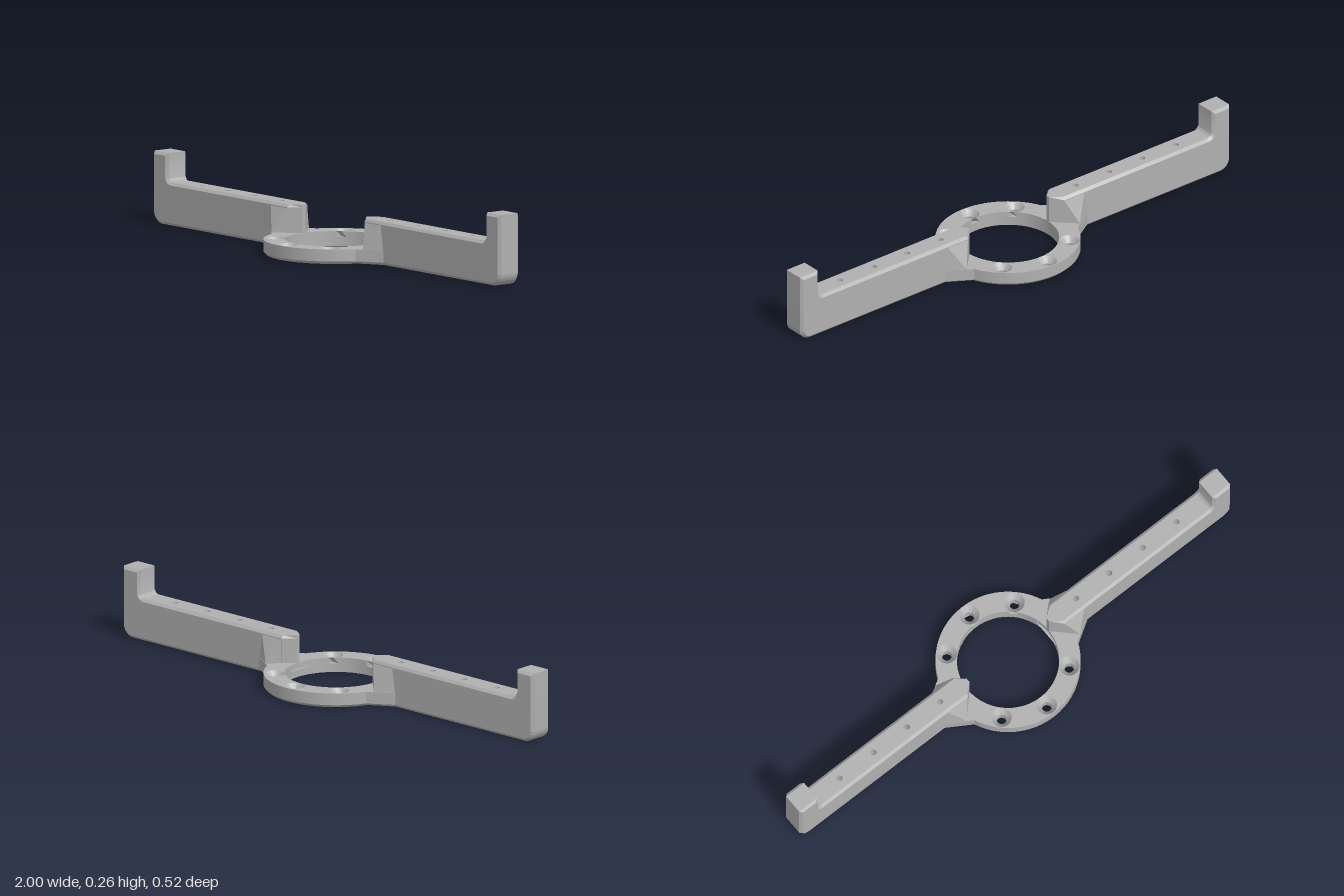
import * as THREE from 'three';
import { toCreasedNormals } from 'three/addons/utils/BufferGeometryUtils.js';
import { ConvexGeometry } from 'three/addons/geometries/ConvexGeometry.js';

const CHAMFER = 0.01, HALF = 0.047, TOP = 0.157, RING_TOP = 0.054;
const OUTER = 0.262, INNER = 0.185, BOLT_R = 0.222;

const grey = new THREE.MeshStandardMaterial({ color: 0xb0b0b0 });
grey.name = 'grey';

function circle(x, z, r) {
  return new THREE.Path().absarc(x, -z, r, 0, Math.PI * 2, true);
}

// Extrudes a plan shape upwards from y0 to y1, then applies a rule to each vertex
function layer(name, shape, holes, y0, y1, rule) {
  shape.holes = holes;
  let geo = new THREE.ExtrudeGeometry(shape, { depth: y1 - y0, bevelEnabled: false, curveSegments: 32 });
  geo.rotateX(-Math.PI / 2).translate(0, y0, 0);
  if (rule) {
    const p = geo.attributes.position, v = new THREE.Vector3();
    for (let i = 0; i < p.count; i++) {
      v.fromBufferAttribute(p, i);
      rule(v);
      p.setXYZ(i, v.x, v.y, v.z);
    }
  }
  geo = toCreasedNormals(geo, 0.5);
  return part(name, geo);
}

function part(name, geo) {
  const mesh = new THREE.Mesh(geo, grey);
  mesh.name = name;
  return mesh;
}

// Round mounting ring with countersunk bolt holes
function makeRing() {
  const group = new THREE.Group();
  group.name = 'mountingRing';
  const bolts = [45, 90, 135, 225, 270, 315].map(a => {
    const t = a * Math.PI / 180;
    return [BOLT_R * Math.cos(t), BOLT_R * Math.sin(t)];
  });
  const all = [...bolts, [BOLT_R, 0], [-BOLT_R, 0]];
  const disc = () => new THREE.Shape().absarc(0, 0, OUTER, 0, Math.PI * 2, false);
  const holes = (list, r) => [circle(0, 0, INNER), ...list.map(([x, z]) => circle(x, z, r))];

  group.add(layer('ringChamfer', disc(), holes(all, 0.018), 0, CHAMFER, v => {
    const r = Math.hypot(v.x, v.z);
    if (v.y < 0.001 && r > OUTER - 0.005) {
      v.x *= (OUTER - CHAMFER) / r;
      v.z *= (OUTER - CHAMFER) / r;
    }
  }));
  group.add(layer('ringBody', disc(), holes(all, 0.018), CHAMFER, 0.032));
  // The lower rim of each hole shrinks to form the countersink
  group.add(layer('ringCountersinks', disc(), holes(bolts, 0.037), 0.032, RING_TOP, v => {
    if (v.y > 0.04) return;
    for (const [x, z] of bolts) {
      const d = Math.hypot(v.x - x, v.z - z);
      if (d < 0.0372) {
        v.x = x + (v.x - x) * 0.018 / d;
        v.z = z + (v.z - z) * 0.018 / d;
        return;
      }
    }
  }));
  return group;
}

// Upturned arm tip with chamfered edges and a rounded lower corner
function makeTip() {
  const s = new THREE.Shape();
  s.moveTo(0.84, 0);
  s.lineTo(0.955, 0);
  s.absarc(0.955, 0.045, 0.045, -Math.PI / 2, 0, false);
  s.lineTo(1, 0.262);
  s.lineTo(0.917, 0.262);
  s.lineTo(0.917, TOP + 0.022);
  s.absarc(0.895, TOP + 0.022, 0.022, 0, -Math.PI / 2, true);
  s.lineTo(0.84, TOP);
  s.closePath();
  const geo = new THREE.ExtrudeGeometry(s, {
    depth: 2 * (HALF - CHAMFER), bevelEnabled: true, bevelSegments: 1, curveSegments: 10,
    bevelSize: CHAMFER, bevelThickness: CHAMFER, bevelOffset: -CHAMFER,
  });
  geo.translate(0, 0, -(HALF - CHAMFER));
  return part('armTip', toCreasedNormals(geo, 0.5));
}

function makeArm(name) {
  const arm = new THREE.Group();
  arm.name = name;
  const plan = () => new THREE.Shape([
    [0.185, -0.008], [0.224, -HALF], [0.86, -HALF],
    [0.86, HALF], [0.224, HALF], [0.185, 0.008],
  ].map(([x, y]) => new THREE.Vector2(x, y)));
  const small = () => [0.315, 0.47, 0.625, 0.782].map(x => circle(x, 0, 0.011));
  const lower = () => [...small(), circle(BOLT_R, 0, 0.018)];
  const inset = v => { v.z = THREE.MathUtils.clamp(v.z, CHAMFER - HALF, HALF - CHAMFER); };

  // Drilled bar, chamfered along its upper and lower edges
  arm.add(layer('barLowerChamfer', plan(), lower(), 0, CHAMFER, v => { if (v.y < 0.001) inset(v); }));
  arm.add(layer('barBase', plan(), lower(), CHAMFER, RING_TOP));
  arm.add(layer('barBody', plan(), small(), RING_TOP, TOP - CHAMFER));
  arm.add(layer('barUpperChamfer', plan(), small(), TOP - CHAMFER, TOP, v => { if (v.y > TOP - 0.001) inset(v); }));
  arm.add(makeTip());

  for (const side of [1, -1]) {
    const hull = pts => new ConvexGeometry(pts.map(([x, y, z]) => new THREE.Vector3(x, y, z * side)));
    // Web that blends the ring outline into the bar
    arm.add(part('cornerWeb', hull([
      [0.235, 0, 0.03], [0.33, 0, 0.03], [0.235, 0, 0.09], [0.325, 0, 0.037],
      [0.24, CHAMFER, 0.104], [0.272, CHAMFER, 0.08], [0.332, CHAMFER, HALF],
      [0.24, RING_TOP, 0.104], [0.272, RING_TOP, 0.08], [0.332, RING_TOP, HALF],
      [0.235, RING_TOP, 0.03], [0.33, RING_TOP, 0.03],
    ])));
    // Sloping gusset above the ring
    arm.add(part('gusset', hull([
      [0.192, RING_TOP, 0.015], [0.264, RING_TOP, 0.087], [0.332, RING_TOP, HALF - 0.001],
      [0.224, 0.146, HALF - 0.001], [0.318, 0.146, HALF - 0.001],
    ])));
  }
  return arm;
}

export function createModel() {
  const model = new THREE.Group();
  model.name = 'ringBracket';
  model.add(makeRing());
  const left = makeArm('leftArm');
  const right = makeArm('rightArm');
  right.rotation.y = Math.PI;
  model.add(left, right);
  return model;
}
